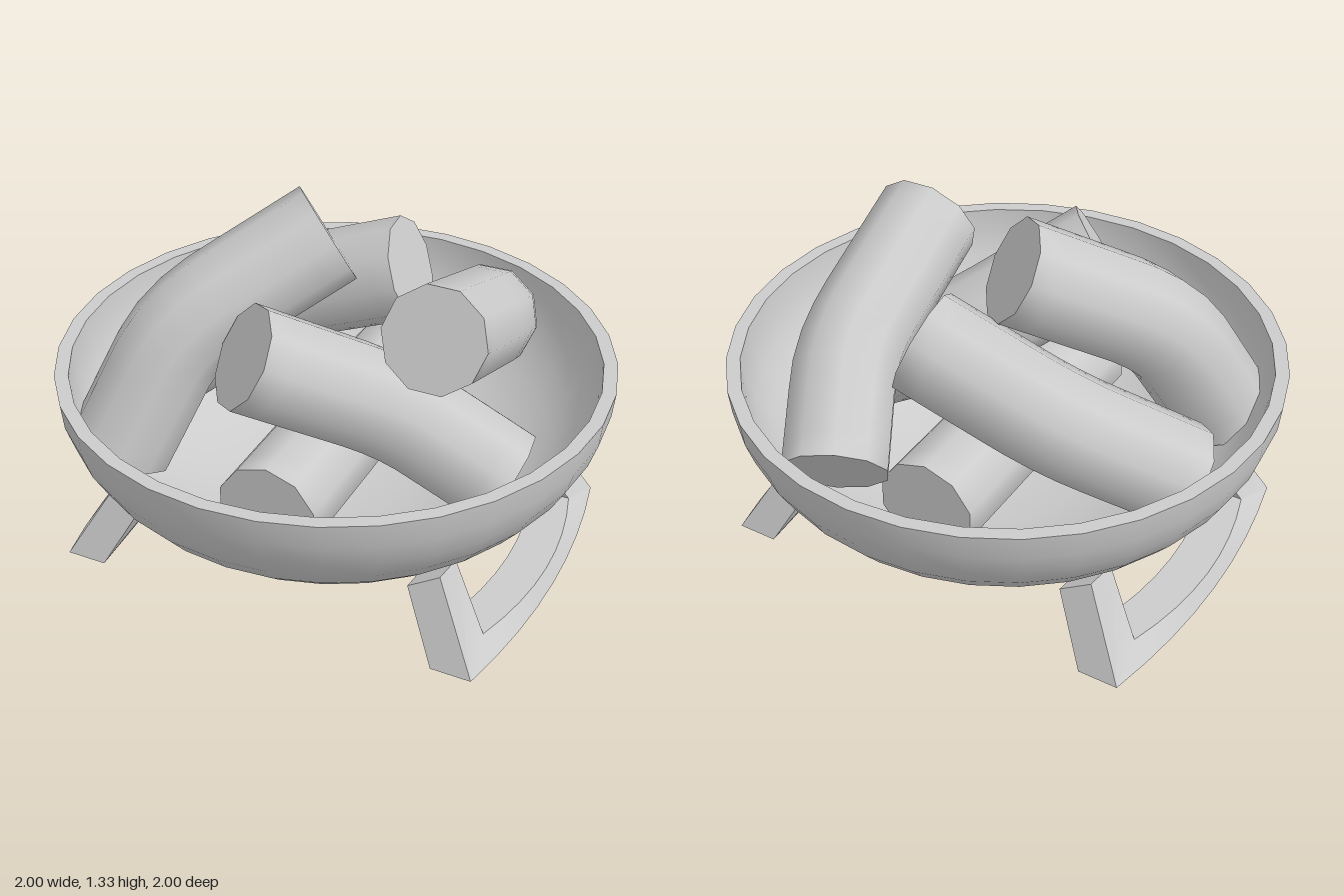
import * as THREE from 'three';
import { toCreasedNormals } from 'three/addons/utils/BufferGeometryUtils.js';

const material = new THREE.MeshStandardMaterial({ color: 0xcccccc });
const LOG_RADIUS = 0.19, LOG_SIDES = 10;

function addMesh(parent, name, geometry, crease) {
  const mesh = new THREE.Mesh(toCreasedNormals(geometry, crease), material);
  mesh.name = name;
  parent.add(mesh);
  return mesh;
}

// Half-ellipsoid bowl with a flat rim and a hollow inside
function bowlGeometry() {
  const rimY = 0.735, steps = 11, profile = [];
  const arc = (radius, depth, i) => {
    const a = (i / steps) * Math.PI / 2;
    return new THREE.Vector2(radius * Math.sin(a), rimY - depth * Math.cos(a));
  };
  for (let i = 0; i <= steps; i++) profile.push(arc(1, 0.655, i));
  for (let i = steps; i >= 0; i--) profile.push(arc(0.95, 0.605, i));
  return new THREE.LatheGeometry(profile, 32);
}

// Closed skin over rings of four corners
function loft(rings) {
  const index = [], n = rings.length;
  for (let j = 0; j < n - 1; j++) {
    for (let k = 0; k < 4; k++) {
      const a = j * 4 + k, b = j * 4 + (k + 1) % 4;
      index.push(a, b, b + 4, a, b + 4, a + 4);
    }
  }
  const e = (n - 1) * 4;
  index.push(0, 3, 2, 0, 2, 1, e, e + 1, e + 2, e, e + 2, e + 3);
  const geometry = new THREE.BufferGeometry();
  geometry.setAttribute('position', new THREE.Float32BufferAttribute(rings.flat(2), 3));
  geometry.setIndex(index);
  return geometry;
}

// Leg frame: two splayed posts joined by a ground bar that bows outward
function legGeometry() {
  const top = [[0.63, 0.31, 0.5], [0.52, 0.25, 0.52], [0.52, 0.225, 0.36], [0.63, 0.285, 0.36]];
  const mirrored = top.map(([x, y, z]) => [x, y, -z]);
  const rings = [top];
  const steps = 8;
  for (let i = 0; i <= steps; i++) {
    const f = 1 - (2 * i) / steps;
    const bow = 0.07 * (1 - f * f);
    rings.push([
      [0.8 + bow, 0, 0.61 * f], [0.65 + bow, 0, 0.61 * f],
      [0.62 + bow, 0.06, 0.43 * f], [0.77 + bow, 0.06, 0.43 * f],
    ]);
  }
  rings.push(mirrored);
  return loft(rings);
}

// Log: capped tube along two straight runs with a rounded bend
function logGeometry(points) {
  const [a, b, c] = points.map((p) => new THREE.Vector3(...p));
  const before = b.clone().lerp(a, 0.3), after = b.clone().lerp(c, 0.3);
  const path = new THREE.CurvePath();
  path.add(new THREE.LineCurve3(a, before));
  path.add(new THREE.QuadraticBezierCurve3(before, b, after));
  path.add(new THREE.LineCurve3(after, c));
  const segments = 12;
  const geometry = new THREE.TubeGeometry(path, segments, LOG_RADIUS, LOG_SIDES, false);
  const index = Array.from(geometry.index.array);
  const e = segments * (LOG_SIDES + 1);
  for (let i = 1; i < LOG_SIDES - 1; i++) {
    index.push(0, i, i + 1, e, e + i + 1, e + i);
  }
  geometry.setIndex(index);
  return geometry;
}

export function createModel() {
  const model = new THREE.Group();
  model.name = 'fireBowl';

  addMesh(model, 'bowl', bowlGeometry(), 0.6);

  // One leg frame on each side
  addMesh(model, 'leftLeg', legGeometry(), 0.4);
  addMesh(model, 'rightLeg', legGeometry(), 0.4).rotation.y = Math.PI;

  // Stacked logs: upper end, bend, lower end
  const logs = new THREE.Group();
  logs.name = 'logs';
  model.add(logs);
  const paths = {
    bottomLog: [[0, 0.4, 0.55], [0, 0.4, 0], [0, 0.4, -0.55]],
    leftFrontLog: [[-0.13, 0.95, 0.45], [0.27, 0.65, 0.09], [0.67, 0.42, 0.02]],
    backLog: [[0.13, 0.95, -0.35], [-0.37, 0.76, -0.29], [-0.73, 0.5, -0.03]],
    rightTopLog: [[-0.08, 1.165, -0.1], [-0.48, 0.88, 0.26], [-0.64, 0.44, 0.46]],
    leftTopLog: [[0.46, 1.04, 0.21], [0.43, 0.81, -0.38], [0.26, 0.57, -0.71]],
  };
  for (const [name, points] of Object.entries(paths)) {
    addMesh(logs, name, logGeometry(points), 0.8);
  }
  return model;
}
